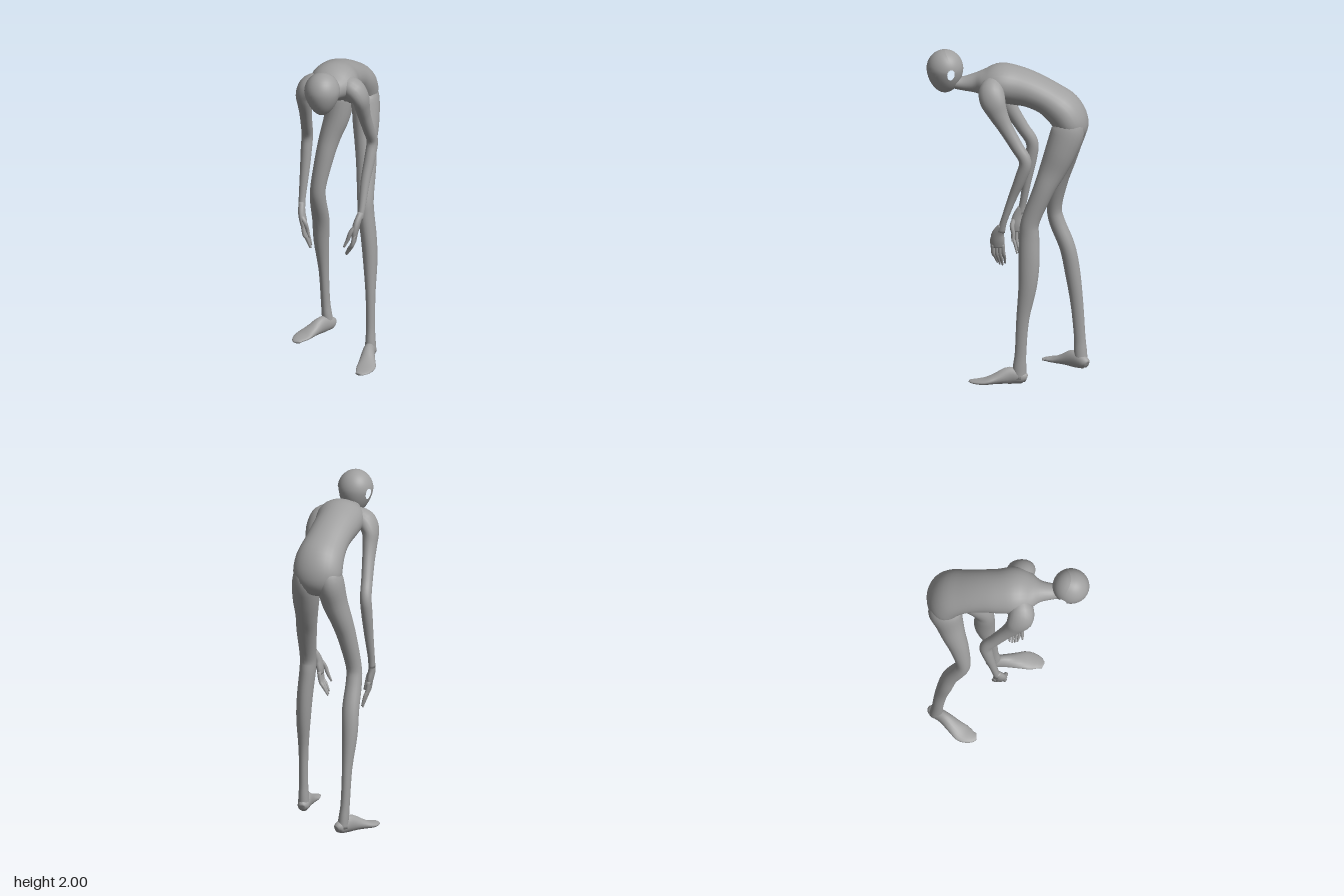
import * as THREE from 'three';

const grey = new THREE.MeshStandardMaterial({ color: 0xa0a0a0 });
grey.name = 'plain grey';
const X = new THREE.Vector3(1, 0, 0);
const Z = new THREE.Vector3(0, 0, 1);

// Closed smooth loft through oval sections [x, y, z, radius along ref, other radius]
function loft(name, rows, ref, sides = 20, steps = 4) {
  const path = new THREE.CatmullRomCurve3(rows.map(r => new THREE.Vector3(r[0], r[1], r[2])), false, 'catmullrom');
  const size = new THREE.CatmullRomCurve3(rows.map(r => new THREE.Vector3(r[3], r[4], 0)), false, 'catmullrom');
  const rings = (rows.length - 1) * steps;
  const pos = [], index = [];
  const put = p => pos.push(p.x, Math.max(p.y, 0.004), p.z);
  for (let i = 0; i <= rings; i++) {
    const c = path.getPoint(i / rings), r = size.getPoint(i / rings);
    const t = path.getTangent(i / rings);
    const s = ref.clone().addScaledVector(t, -ref.dot(t)).normalize();
    const n = new THREE.Vector3().crossVectors(t, s);
    for (let j = 0; j < sides; j++) {
      const a = j / sides * Math.PI * 2;
      put(c.clone().addScaledVector(s, r.x * Math.cos(a)).addScaledVector(n, r.y * Math.sin(a)));
      if (i < rings) {
        const k = i * sides + j, l = i * sides + (j + 1) % sides;
        index.push(k, l, k + sides, l, l + sides, k + sides);
      }
    }
  }
  // End caps
  const first = pos.length / 3, base = rings * sides;
  put(path.getPoint(0));
  put(path.getPoint(1));
  for (let j = 0; j < sides; j++) {
    const k = (j + 1) % sides;
    index.push(first, k, j, first + 1, base + j, base + k);
  }
  const g = new THREE.BufferGeometry();
  g.setAttribute('position', new THREE.Float32BufferAttribute(pos, 3));
  g.setIndex(index);
  g.computeVertexNormals();
  const mesh = new THREE.Mesh(g, grey);
  mesh.name = name;
  return mesh;
}

// Egg-shaped head with an open ear hole on each side
function head() {
  const g = new THREE.SphereGeometry(1, 36, 26, 0, Math.PI * 2, 0.27, Math.PI - 0.54);
  g.rotateZ(-Math.PI / 2);
  const p = g.attributes.position, v = new THREE.Vector3();
  for (let i = 0; i < p.count; i++) {
    v.fromBufferAttribute(p, i);
    const k = v.x * v.x;
    v.y -= 0.1 * k;
    v.z -= 0.52 * k;
    v.normalize();
    const low = Math.max(0, -v.y);
    p.setXYZ(i, v.x * 0.106 * (1 - 0.22 * low), v.y * (v.y > 0 ? 0.115 : 0.147), v.z * 0.109 * (1 - 0.1 * low));
  }
  g.computeVertexNormals();
  const mesh = new THREE.Mesh(g, grey);
  mesh.name = 'head';
  mesh.position.set(0.024, 1.884, 0.373);
  return mesh;
}

// Palm, four fingers and a thumb; side is +1 for the left hand
function hand(name, side, wrist, palm, tip, thumbTip) {
  const group = new THREE.Group();
  group.name = name;
  const [px, py, pz] = palm;
  group.add(loft('palm', [
    [...wrist, 0.022, 0.019], [px, py + 0.03, pz, 0.036, 0.021],
    [px - side * 0.01, py - 0.02, pz + 0.003, 0.042, 0.02],
    [px - side * 0.016, py - 0.06, pz + 0.003, 0.036, 0.015]], Z, 14));
  for (let i = 0; i < 4; i++) {
    const o = (i - 1.5) * 0.019, short = Math.abs(i - 1.3) * 0.012;
    group.add(loft('finger', [
      [px - side * 0.012, py - 0.04, pz + o, 0.012, 0.012],
      [px - side * 0.022, py - 0.1, pz + o * 1.05, 0.0115, 0.011],
      [(px + tip[0]) / 2 - side * 0.008, py - 0.145 + short, (pz + tip[2]) / 2 + o, 0.01, 0.01],
      [tip[0], tip[1] + short, tip[2] + o * 0.8, 0.005, 0.005]], Z, 8));
  }
  group.add(loft('thumb', [
    [px, py + 0.02, pz + 0.02, 0.016, 0.014],
    [px - side * 0.03, py - 0.02, pz + 0.036, 0.014, 0.013],
    [(px + thumbTip[0]) / 2 - side * 0.014, py - 0.07, thumbTip[2] - 0.004, 0.011, 0.011],
    [...thumbTip, 0.006, 0.006]], Z, 8));
  return group;
}

export function createModel() {
  const model = new THREE.Group();
  model.name = 'bent figure';
  model.add(head());

  // Neck, arched back and pelvis in one sweep
  model.add(loft('torso', [
    [0.024, 1.80, 0.32, 0.045, 0.036], [0.022, 1.795, 0.26, 0.05, 0.043],
    [0.02, 1.80, 0.19, 0.068, 0.06], [0.02, 1.805, 0.13, 0.115, 0.08],
    [0.02, 1.807, 0.05, 0.142, 0.115], [0.018, 1.79, -0.05, 0.135, 0.115],
    [0.025, 1.768, -0.14, 0.13, 0.105], [0.035, 1.725, -0.24, 0.132, 0.1],
    [0.045, 1.66, -0.33, 0.145, 0.11], [0.045, 1.58, -0.378, 0.145, 0.104],
    [0.042, 1.52, -0.385, 0.115, 0.08], [0.042, 1.475, -0.37, 0.05, 0.04]], X, 28));

  // Left leg, standing forward
  model.add(loft('leftLeg', [
    [0.11, 1.63, -0.36, 0.06, 0.07], [0.118, 1.55, -0.365, 0.08, 0.098],
    [0.13, 1.42, -0.322, 0.079, 0.092], [0.14, 1.3, -0.273, 0.066, 0.078],
    [0.155, 1.18, -0.22, 0.06, 0.062], [0.167, 1.0, -0.148, 0.049, 0.055],
    [0.172, 0.9, -0.141, 0.048, 0.06], [0.188, 0.75, -0.142, 0.046, 0.062],
    [0.199, 0.6, -0.134, 0.042, 0.054], [0.207, 0.4, -0.106, 0.029, 0.038],
    [0.21, 0.2, -0.094, 0.026, 0.034], [0.211, 0.11, -0.088, 0.03, 0.04],
    [0.212, 0.04, -0.085, 0.034, 0.042]], X));
  model.add(loft('leftFoot', [
    [0.208, 0.035, -0.128, 0.018, 0.02], [0.21, 0.045, -0.105, 0.033, 0.038],
    [0.213, 0.055, -0.03, 0.036, 0.052], [0.223, 0.036, 0.05, 0.048, 0.032],
    [0.23, 0.022, 0.11, 0.057, 0.019], [0.222, 0.016, 0.165, 0.046, 0.012],
    [0.205, 0.013, 0.205, 0.022, 0.007]], X));

  // Right leg, standing back with the foot turned out
  model.add(loft('rightLeg', [
    [-0.02, 1.63, -0.36, 0.06, 0.07], [-0.03, 1.55, -0.37, 0.08, 0.1],
    [-0.05, 1.42, -0.345, 0.076, 0.085], [-0.085, 1.3, -0.318, 0.064, 0.072],
    [-0.112, 1.18, -0.288, 0.056, 0.06], [-0.144, 1.0, -0.26, 0.047, 0.045],
    [-0.15, 0.9, -0.276, 0.048, 0.047], [-0.147, 0.75, -0.336, 0.051, 0.047],
    [-0.15, 0.6, -0.366, 0.046, 0.046], [-0.142, 0.4, -0.394, 0.03, 0.038],
    [-0.136, 0.2, -0.411, 0.027, 0.034], [-0.129, 0.11, -0.417, 0.03, 0.038],
    [-0.122, 0.04, -0.422, 0.033, 0.038]], X));
  model.add(loft('rightFoot', [
    [-0.096, 0.035, -0.458, 0.018, 0.02], [-0.108, 0.045, -0.44, 0.033, 0.038],
    [-0.15, 0.055, -0.375, 0.036, 0.052], [-0.2, 0.036, -0.31, 0.048, 0.032],
    [-0.235, 0.022, -0.262, 0.056, 0.019], [-0.252, 0.016, -0.212, 0.042, 0.012],
    [-0.25, 0.013, -0.178, 0.02, 0.007]], new THREE.Vector3(0.82, 0, 0.57)));

  // Arms hang from the shoulders with the elbows drawn back
  model.add(loft('leftArm', [
    [0.09, 1.815, 0.075, 0.06, 0.06], [0.15, 1.79, 0.085, 0.075, 0.062],
    [0.186, 1.735, 0.072, 0.075, 0.05], [0.192, 1.66, 0.04, 0.058, 0.043],
    [0.195, 1.58, -0.004, 0.045, 0.037], [0.205, 1.47, -0.07, 0.038, 0.034],
    [0.214, 1.38, -0.122, 0.037, 0.034], [0.206, 1.28, -0.096, 0.035, 0.033],
    [0.19, 1.15, -0.044, 0.026, 0.028], [0.182, 1.0, 0.008, 0.02, 0.02],
    [0.172, 0.93, 0.026, 0.024, 0.019]], Z));
  model.add(hand('leftHand', 1, [0.178, 0.97, 0.016], [0.16, 0.885, 0.045],
    [0.094, 0.695, 0.032], [0.09, 0.77, 0.086]));
  model.add(loft('rightArm', [
    [-0.05, 1.815, 0.075, 0.06, 0.06], [-0.115, 1.79, 0.085, 0.075, 0.062],
    [-0.152, 1.735, 0.072, 0.075, 0.05], [-0.158, 1.66, 0.04, 0.058, 0.043],
    [-0.163, 1.58, -0.004, 0.045, 0.037], [-0.172, 1.47, -0.07, 0.038, 0.034],
    [-0.18, 1.38, -0.124, 0.037, 0.034], [-0.185, 1.28, -0.118, 0.035, 0.033],
    [-0.19, 1.15, -0.096, 0.027, 0.028], [-0.198, 1.0, -0.07, 0.021, 0.021],
    [-0.198, 0.93, -0.056, 0.024, 0.02]], Z));
  model.add(hand('rightHand', -1, [-0.199, 0.97, -0.064], [-0.195, 0.88, -0.043],
    [-0.145, 0.675, -0.062], [-0.14, 0.77, -0.012]));

  return model;
}
